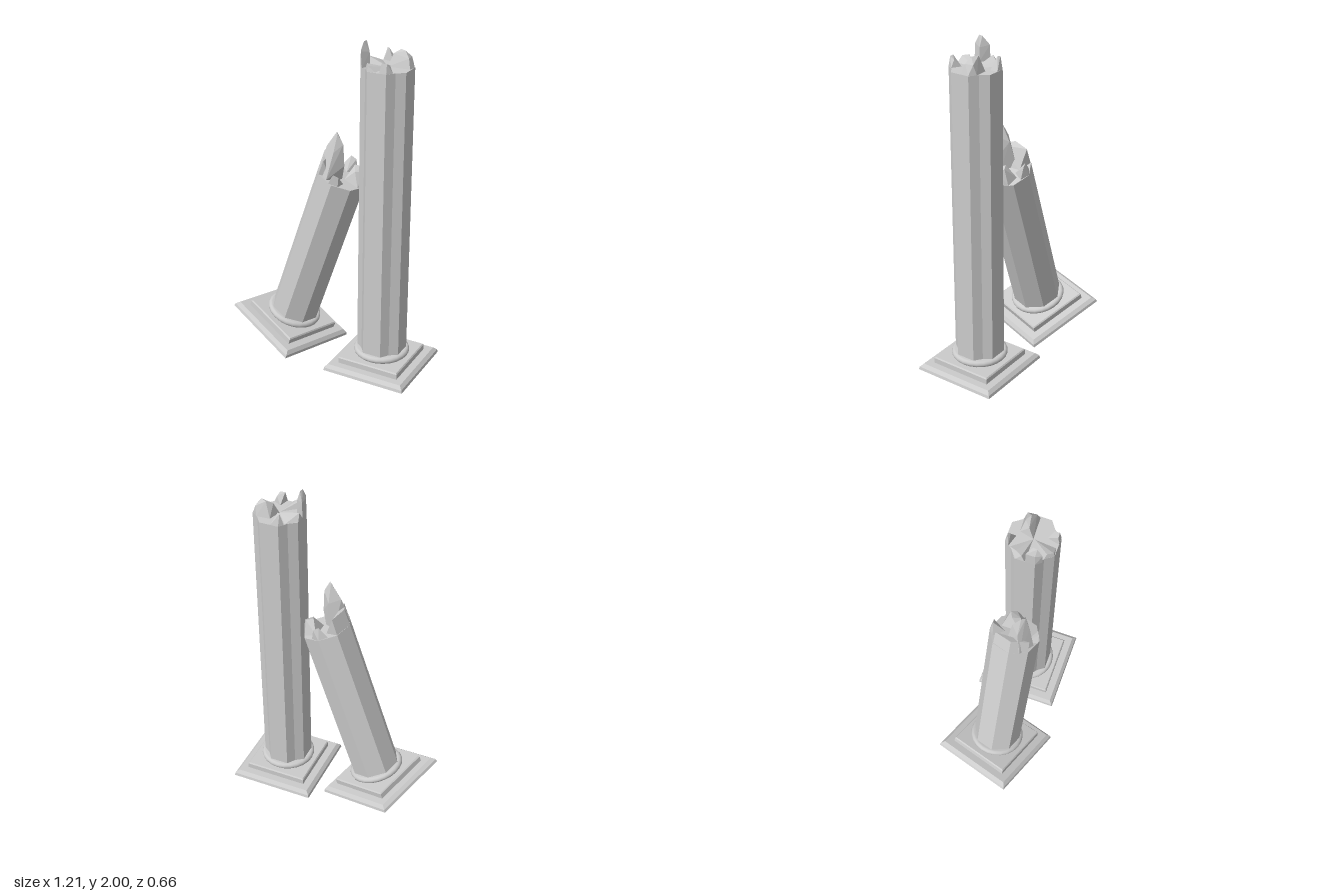
import * as THREE from 'three';
import { ConvexGeometry } from 'three/addons/geometries/ConvexGeometry.js';

const flat = new THREE.MeshStandardMaterial({ color: 0xcccccc, flatShading: true });
const smooth = new THREE.MeshStandardMaterial({ color: 0xcccccc });

function add(parent, name, geometry, material = flat) {
  const mesh = new THREE.Mesh(geometry, material);
  mesh.name = name;
  parent.add(mesh);
  return mesh;
}

const profile = (points) => points.map(([r, y]) => new THREE.Vector2(r, y));

// Square slab with sloped edges, from [half width, y] pairs
function squareSlab(points) {
  const scaled = points.map(([r, y]) => [r * Math.SQRT2, y]);
  return new THREE.LatheGeometry(profile(scaled), 4).rotateY(Math.PI / 4);
}

// Eight-sided shaft; a flute bends the diagonal sides inward
function shaftGeometry(bottom, top, flute) {
  const points = [];
  const corner = 0.148;
  for (let i = 0; i < 8; i++) {
    const a = Math.PI / 8 + (i * Math.PI) / 4;
    points.push(new THREE.Vector2(corner * Math.cos(a), corner * Math.sin(a)));
    if (flute && i % 2 === 0) {
      const m = a + Math.PI / 8;
      const r = corner * Math.cos(Math.PI / 8) - flute;
      points.push(new THREE.Vector2(r * Math.cos(m), r * Math.sin(m)));
    }
  }
  const geometry = new THREE.ExtrudeGeometry(new THREE.Shape(points), { depth: top - bottom, bevelEnabled: false });
  return geometry.rotateX(-Math.PI / 2).translate(0, bottom, 0);
}

// Stepped base and shaft
function makeColumn(name, top, flute) {
  const column = new THREE.Group();
  column.name = name;
  add(column, 'lowerPlinth', squareSlab([[0, 0], [0.26, 0], [0.256, 0.017], [0.237, 0.036], [0, 0.036]]));
  add(column, 'upperPlinth', squareSlab([[0, 0.034], [0.193, 0.034], [0.193, 0.068], [0.187, 0.075], [0, 0.075]]));
  const ring = [[0.15, 0.073]];
  for (let i = 0; i <= 6; i++) {
    const a = -Math.PI / 2 + (i * Math.PI) / 6;
    ring.push([0.147 + 0.02 * Math.cos(a), 0.095 + 0.02 * Math.sin(a)]);
  }
  ring.push([0.1, 0.115]);
  add(column, 'baseRing', new THREE.LatheGeometry(profile(ring), 24), smooth);
  add(column, 'shaft', shaftGeometry(0.11, top, flute));
  return column;
}

// Broken stone standing on the shaft top; points are [x, height above rim, z]
function addShards(parent, rim, shards) {
  for (const points of shards) {
    add(parent, 'brokenShard', new ConvexGeometry(points.map(([x, y, z]) => new THREE.Vector3(x, rim + y, z))));
  }
}

export function createModel() {
  const model = new THREE.Group();
  model.name = 'brokenColumns';

  // Standing column
  const standing = makeColumn('standingColumn', 1.86, 0.009);
  standing.position.set(0.343, 0, 0);
  model.add(standing);
  addShards(standing, 1.86, [
    // tall blade on the outer side
    [[-0.137, 0, 0.057], [-0.11, 0, 0.09], [-0.137, 0, 0.003], [-0.085, 0, 0.04], [-0.135, 0.09, 0.055],
      [-0.118, 0.09, 0.09], [-0.135, 0.09, 0.004], [-0.115, 0.14, 0.06], [-0.11, 0.14, 0.035], [-0.09, 0.08, 0.04]],
    // blunt lump on the far side
    [[0, 0, 0], [0.02, 0, -0.08], [0.1, 0, -0.085], [0.135, 0, -0.055], [0.13, 0, -0.005],
      [0.02, 0.07, -0.03], [0.05, 0.09, -0.06], [0.085, 0.09, -0.04], [0.115, 0.055, -0.02], [0.11, 0.055, -0.07]],
    // thin spike at the back
    [[-0.08, 0, -0.11], [-0.057, 0, -0.136], [-0.01, 0, -0.136], [-0.01, 0, -0.09], [-0.06, 0.07, -0.12], [-0.045, 0.07, -0.11]],
    // low chips along the front
    [[-0.09, 0, 0.09], [-0.057, 0, 0.136], [-0.01, 0, 0.13], [0, 0, 0.01], [-0.075, 0.035, 0.1], [-0.055, 0.03, 0.13]],
    [[0.015, 0, 0.136], [0.057, 0, 0.136], [0.08, 0, 0.1], [0.03, 0, 0.07], [0.025, 0.055, 0.128], [0.055, 0.055, 0.125], [0.06, 0.04, 0.095]],
    [[-0.137, 0, -0.05], [-0.137, 0, 0], [0, 0, 0], [-0.08, 0, -0.1], [-0.13, 0.04, -0.02], [-0.1, 0.02, -0.06]],
  ]);

  // Leaning column: tilted towards the standing one, turned on its own axis
  const leaning = new THREE.Group();
  leaning.name = 'leaningColumn';
  leaning.position.set(-0.297, 0.105, 0);
  leaning.rotation.z = THREE.MathUtils.degToRad(-18.8);
  model.add(leaning);
  const turned = makeColumn('turnedColumn', 1.12, 0);
  turned.rotation.y = THREE.MathUtils.degToRad(-18);
  leaning.add(turned);
  addShards(leaning, 1.12, [
    // raised outer wall
    [[-0.147, 0, 0.012], [-0.11, 0, -0.094], [-0.095, 0, 0.111], [-0.03, 0, 0.08], [-0.03, 0, -0.07],
      [-0.145, 0.104, 0.012], [-0.11, 0.1, -0.09], [-0.095, 0.09, 0.108], [-0.085, 0.07, -0.05]],
    // tall blade
    [[-0.125, 0, 0.07], [-0.036, 0, 0.125], [0.02, 0, 0.03], [-0.06, 0, -0.03], [-0.13, 0.154, 0.04], [-0.1, 0.265, 0.04],
      [-0.085, 0.265, 0.06], [-0.034, 0.215, 0.05], [-0.06, 0.16, 0.09], [0.01, 0.09, 0.04], [-0.07, 0.16, -0.01]],
    // rounded lump on the inner side
    [[0.03, 0, 0.02], [0.03, 0, -0.09], [0.11, 0, -0.085], [0.142, 0, -0.01], [0.125, 0, 0.03],
      [0.04, 0.085, -0.04], [0.08, 0.09, -0.06], [0.108, 0.075, -0.03], [0.13, 0.03, -0.01], [0.07, 0.07, 0.005]],
    // small chips at the sides
    [[-0.01, 0, 0.144], [0.045, 0, 0.128], [0.05, 0, 0.07], [-0.03, 0, 0.07], [0, 0.06, 0.138], [0.03, 0.055, 0.125]],
    [[-0.06, 0, -0.115], [-0.012, 0, -0.146], [0.04, 0, -0.125], [0, 0, -0.06], [-0.03, 0.075, -0.128], [0.005, 0.065, -0.135]],
  ]);
  return model;
}
